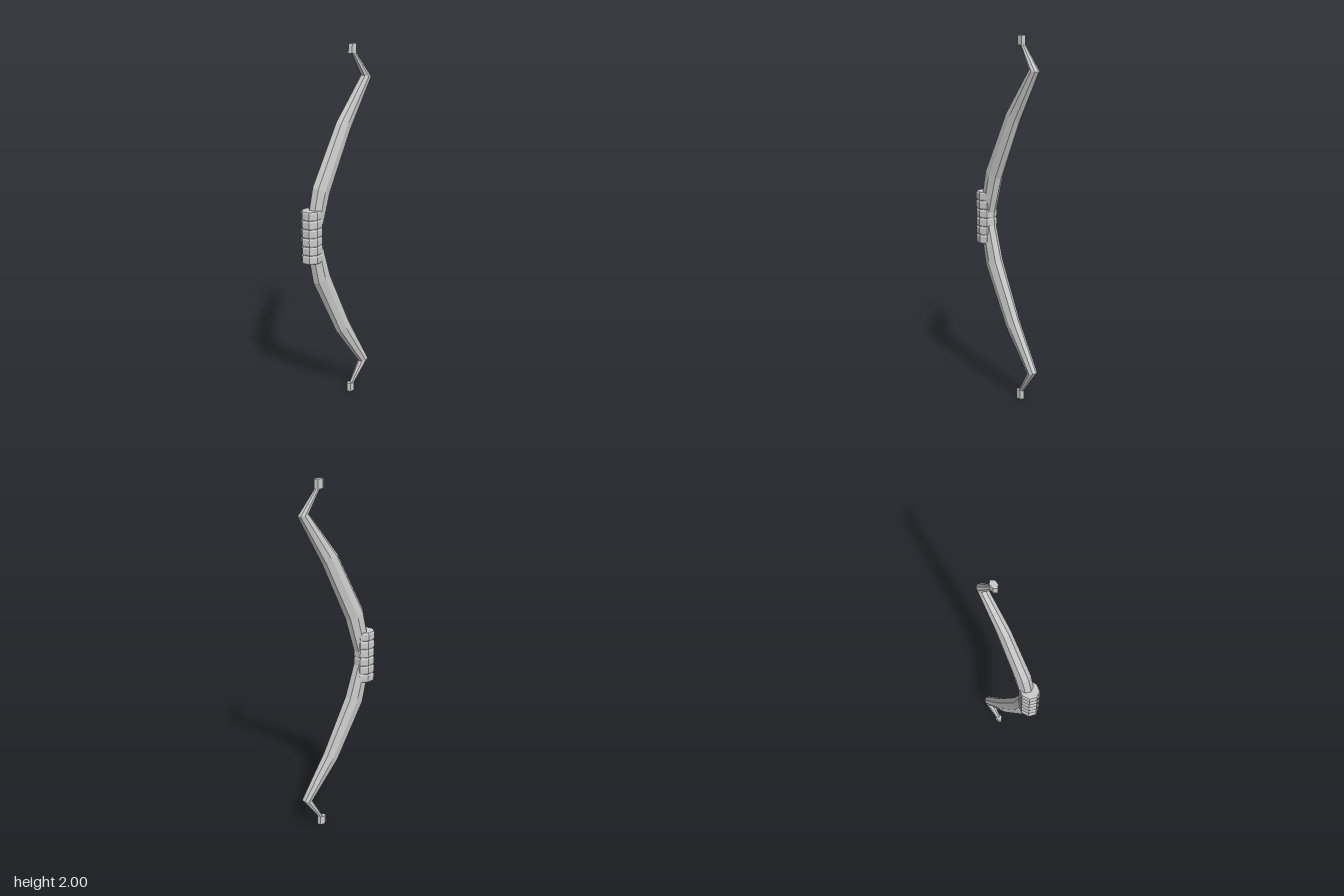
import * as THREE from 'three';

const material = new THREE.MeshStandardMaterial({ color: 0xcccccc, flatShading: true });

// Half of the bow: outer edge (x, y), inner edge (x, y), half thickness in z; y from the middle
const half = [
  [-0.2, 0.03, -0.105, 0.03, 0.04],
  [-0.155, 0.27, -0.05, 0.23, 0.041],
  [0.0, 0.6, 0.085, 0.55, 0.034],
  [0.162, 0.83, 0.222, 0.818, 0.026],
  [0.088, 0.968, 0.122, 0.955, 0.013],
];

// Loft eight-sided elliptical sections along the whole bow
function limbGeometry() {
  const lower = half.map(([a, b, c, d, z]) => [a, -b, c, -d, z]).reverse();
  const sections = [...lower, ...half];
  const sides = 8, pos = [], idx = [];
  for (const [ox, oy, ix, iy, z] of sections) {
    for (let k = 0; k < sides; k++) {
      const a = (k / sides) * Math.PI * 2, t = (1 + Math.cos(a)) / 2;
      pos.push(ox + (ix - ox) * t, 1 + oy + (iy - oy) * t, z * Math.sin(a));
    }
  }
  for (let s = 0; s < sections.length - 1; s++) {
    for (let k = 0; k < sides; k++) {
      const n = (k + 1) % sides;
      const a = s * sides + k, b = s * sides + n, c = a + sides, d = b + sides;
      idx.push(a, c, b, b, c, d);
    }
  }
  // End caps
  const last = (sections.length - 1) * sides;
  for (let k = 1; k < sides - 1; k++) {
    idx.push(0, k, k + 1, last, last + k + 1, last + k);
  }
  const g = new THREE.BufferGeometry();
  g.setAttribute('position', new THREE.Float32BufferAttribute(pos, 3));
  g.setIndex(idx);
  const flat = g.toNonIndexed();
  flat.computeVertexNormals();
  return flat;
}

// Grip wrap: stacked bands with narrow grooves between them
function wrapGeometry() {
  const bands = 6, y0 = 0.857, h = 0.292 / bands;
  const points = [new THREE.Vector2(0, y0)];
  for (let i = 0; i < bands; i++) {
    const y = y0 + i * h;
    points.push(
      new THREE.Vector2(0.92, y),
      new THREE.Vector2(1, y + h * 0.18),
      new THREE.Vector2(1, y + h * 0.82),
      new THREE.Vector2(0.92, y + h * 0.99),
    );
  }
  points.push(new THREE.Vector2(0, y0 + bands * h));
  const g = new THREE.LatheGeometry(points, 8);
  g.scale(0.061, 1, 0.053);
  g.translate(-0.164, 0, 0);
  return g;
}

export function createModel() {
  const group = new THREE.Group();
  const add = (name, geometry) => {
    const mesh = new THREE.Mesh(geometry, material);
    mesh.name = name;
    group.add(mesh);
  };

  add('bowLimbs', limbGeometry());
  add('gripWrap', wrapGeometry());

  // Hexagonal string nocks at both tips
  for (const [name, y] of [['upperNock', 1.975], ['lowerNock', 0.025]]) {
    const g = new THREE.CylinderGeometry(1, 1, 0.05, 6);
    g.rotateY(Math.PI / 6);
    g.scale(0.027, 1, 0.0185);
    g.translate(0.102, y, 0);
    add(name, g);
  }
  return group;
}
